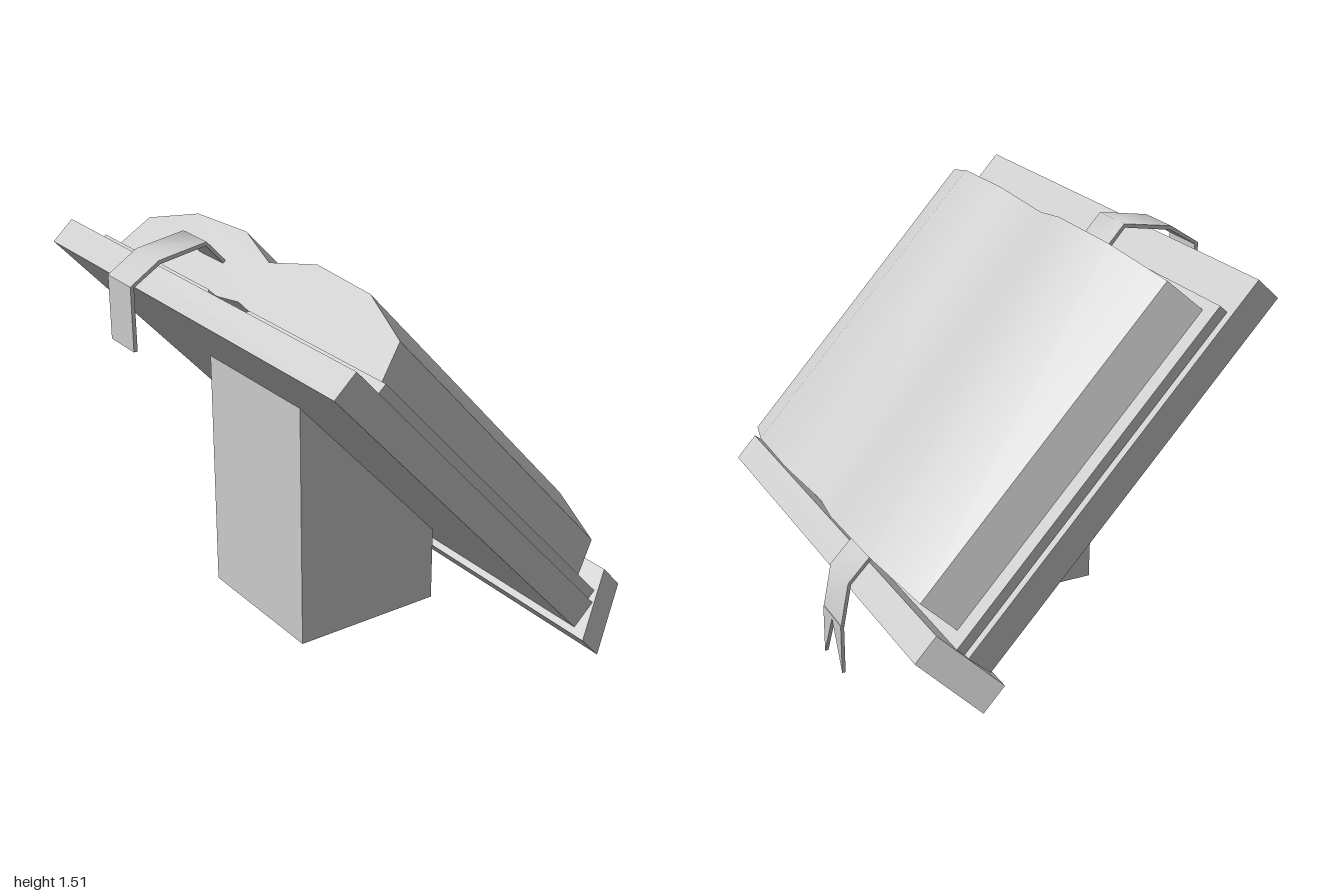
import * as THREE from 'three';
import { toCreasedNormals } from 'three/addons/utils/BufferGeometryUtils.js';

const material = new THREE.MeshStandardMaterial({ color: 0xcccccc });

function extrude(points, depth, crease) {
  const shape = new THREE.Shape(points.map(([a, b]) => new THREE.Vector2(a, b)));
  const geo = new THREE.ExtrudeGeometry(shape, { depth, bevelEnabled: false });
  return toCreasedNormals(geo, crease);
}

function part(name, geometry, parent) {
  const mesh = new THREE.Mesh(geometry, material);
  mesh.name = name;
  parent.add(mesh);
  return mesh;
}

// Cross-section (across, height above slope) swept up the slope from u0 to u1
function alongSlope(points, u0, u1, crease = 0.4) {
  return extrude(points, u1 - u0, crease).rotateX(Math.PI / 2).translate(0, u1, 0);
}

// Side profile (z, y) swept across x, centred
function across(points, width, crease = 0.4) {
  return extrude(points, width, crease).rotateY(-Math.PI / 2).translate(width / 2, 0, 0);
}

// Mirror the right half of a section, listed from centre outwards
function mirrored(half) {
  const left = half.filter(([x]) => x > 0).map(([x, y]) => [-x, y]).reverse();
  return [...half, ...left];
}

// Give a side path (z, y) a thickness, for a bent ribbon
function thicken(path, t) {
  const pts = path.map(([z, y]) => new THREE.Vector2(z, y));
  const inner = pts.map((p, i) => {
    const a = pts[Math.max(i - 1, 0)], b = pts[Math.min(i + 1, pts.length - 1)];
    const d = b.clone().sub(a).normalize();
    return [p.x + d.y * t, p.y - d.x * t];
  });
  return [...path, ...inner.reverse()];
}

export function createModel() {
  const model = new THREE.Group();
  model.name = 'bookOnStand';

  // Whole stand is turned a little about the vertical
  const stand = new THREE.Group();
  stand.name = 'stand';
  stand.position.x = -0.015;
  stand.rotation.y = -0.042;
  model.add(stand);

  // Sloping frame: x across, y up the slope, z out of the board
  const slope = new THREE.Group();
  slope.name = 'slopingTop';
  slope.rotation.set(-0.742, Math.PI, 0, 'YXZ');
  stand.add(slope);

  // Support block, its top cut to the slope
  part('supportBlock', across([[0.36, 0.097], [0.36, 1.04], [-0.235, 0.392], [-0.235, 0.097]], 0.595), stand);

  // Board and the ledge with angled ends
  part('board', alongSlope([[-0.935, 0.436], [0.935, 0.436], [0.935, 0.546], [-0.935, 0.546]], -0.09, 1.453), slope);
  part('ledge', alongSlope([[-1, 0.41], [1, 0.41], [0.89, 0.672], [-0.89, 0.672]], -0.205, -0.09), slope);

  // Open cover with a sunken spine
  const coverTop = [[-0.91, 0.587], [-0.135, 0.587], [-0.1, 0.556], [0.1, 0.556], [0.135, 0.587], [0.91, 0.587]];
  const coverBack = [[0.91, 0.549], [0.145, 0.549], [0.11, 0.52], [-0.11, 0.52], [-0.145, 0.549], [-0.91, 0.549]];
  part('cover', alongSlope([...coverTop, ...coverBack], -0.09, 1.31), slope);

  // Page block: curved leaves meeting in a valley
  const pages = mirrored([
    [0, 0.605], [0.12, 0.587], [0.85, 0.587], [0.8, 0.735], [0.545, 0.832], [0.225, 0.847],
  ]);
  pages.splice(6, 0, [0, 0.78]);
  part('pages', alongSlope(pages, -0.045, 1.272, 0.7), slope);

  // Bookmark ribbon, hanging over both ends of the book
  const ribbon = new THREE.Group();
  ribbon.name = 'bookmarkRibbon';
  ribbon.position.x = -0.3;
  stand.add(ribbon);
  part('ribbonTop', across(thicken(
    [[0.3, 1.39], [0.405, 1.505], [0.598, 1.473], [0.715, 1.398], [0.715, 1.157]], 0.015), 0.165, 1), ribbon);
  part('ribbonBottom', across(thicken(
    [[-0.69, 0.185], [-0.658, 0.35], [-0.546, 0.465], [-0.5, 0.515]], 0.013), 0.165, 1), ribbon);
  const tail = extrude([[-0.083, 0.19], [-0.083, 0], [0, 0.178], [0.083, 0], [0.083, 0.19]], 0.013, 0.4);
  part('ribbonTail', tail, ribbon).position.z = -0.691;

  return model;
}
